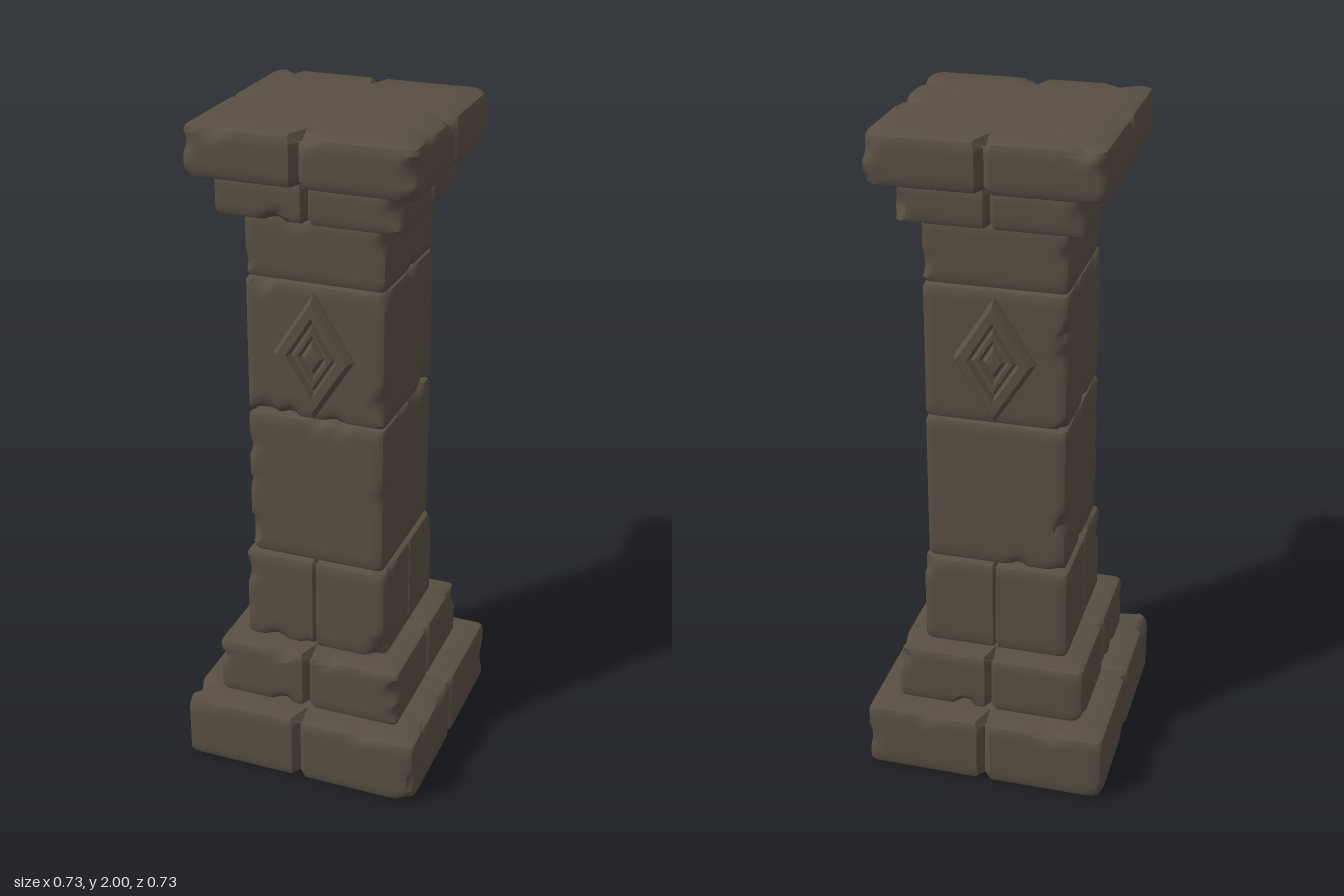
import * as THREE from 'three';
import { toCreasedNormals } from 'three/addons/utils/BufferGeometryUtils.js';

const stone = new THREE.MeshStandardMaterial({ color: 0x584e43 });
stone.name = 'weathered stone';

// small seeded random generator
function makeRandom(seed) {
  let s = seed * 7919 + 13;
  return () => {
    s = (s * 16807) % 2147483647;
    return s / 2147483647;
  };
}

// one row of a block outline: square with rounded corners and a V groove mid-side
function outlineRow(h, y, inset, groove, grooveWidth, drop, corner) {
  const points = [];
  const steps = 10;
  const scale = (h - inset) / h;
  const end = h - corner;
  const half = [];
  for (let i = 0; i <= steps; i++) half.push(grooveWidth + (end - grooveWidth) * i / steps);
  const us = [...half.map((u) => -u).reverse(), 0, ...half];
  for (let side = 0; side < 4; side++) {
    const a = side * Math.PI / 2, s = Math.sin(a), c = Math.cos(a);
    const add = (n, u, py) => points.push(new THREE.Vector3(s * n + c * u, py, c * n - s * u));
    for (const u of us) {
      const mid = u === 0;
      add((h - inset) - (mid ? groove : 0), u * scale, y - (mid ? drop : 0));
    }
    const k = (h - corner * 0.3) * scale;
    add(k, k, y);
  }
  return points;
}

// bevelled stone block with optional mid-side grooves and chipped edges
function block(name, h, y0, y1, { groove = 0, width = 0.008, chips = 10, bevel = 0.016, seed = 1 } = {}) {
  const corner = bevel * 1.1;
  const rows = [];
  const capRows = (y, sign) => [
    outlineRow(h, y, h, 0, 0.004, 0, corner),
    outlineRow(h, y, Math.min(0.085, h * 0.4), 0, 0.004, 0, corner),
    outlineRow(h, y, bevel, groove, width * 1.3, sign * groove, corner),
    outlineRow(h, y - sign * bevel * 0.3, bevel * 0.3, groove, width * 1.3, sign * groove * 0.6, corner),
    outlineRow(h, y - sign * bevel, 0, groove, width, 0, corner),
  ];
  rows.push(...capRows(y0, -1));
  const levels = Math.max(3, Math.round((y1 - y0) / 0.028));
  for (let i = 1; i < levels; i++) {
    const y = THREE.MathUtils.lerp(y0 + bevel, y1 - bevel, i / levels);
    rows.push(outlineRow(h, y, 0, groove, width, 0, corner));
  }
  rows.push(...capRows(y1, 1).reverse());

  // press rounded chips into vertical and horizontal edges
  const random = makeRandom(seed);
  for (let i = 0; i < chips; i++) {
    const sx = random() < 0.5 ? -1 : 1, sz = random() < 0.5 ? -1 : 1;
    const sy = random() < 0.5 ? 0 : 1;
    const along = random(), kind = random();
    const center = new THREE.Vector3(sx * h, y0 + (y1 - y0) * along, sz * h);
    const push = new THREE.Vector3(-sx, 0, -sz);
    if (kind > 0.4) {
      center.y = sy ? y1 : y0;
      push.y = sy ? -1 : 1;
      if (kind > 0.7) { center.x = (along * 2 - 1) * h; push.x = 0; }
      else { center.z = (along * 2 - 1) * h; push.z = 0; }
    }
    const radius = 0.025 + random() * 0.025, depth = 0.006 + random() * 0.009;
    for (const row of rows) for (const p of row) {
      const d = p.distanceTo(center) / radius;
      if (d < 1) p.addScaledVector(push, depth * (1 - d * d));
    }
  }

  const n = rows[0].length, index = [];
  for (let j = 0; j < rows.length - 1; j++) for (let i = 0; i < n; i++) {
    const a = j * n + i, b = j * n + (i + 1) % n, c = b + n, d = a + n;
    if (j > 0) index.push(a, b, c);
    if (j < rows.length - 2) index.push(a, c, d);
    else if (j === 0) index.push(a, c, d);
  }
  const geometry = new THREE.BufferGeometry().setFromPoints(rows.flat());
  geometry.setIndex(index);
  const mesh = new THREE.Mesh(toCreasedNormals(geometry, 0.7), stone);
  mesh.name = name;
  return mesh;
}

// stepped diamond ornament lofted through nested rhombus outlines
function diamond(name) {
  const rings = [
    [0.122, 0.192, 0.195], [0.12, 0.188, 0.215], [0.106, 0.166, 0.235], [0.076, 0.122, 0.235],
    [0.068, 0.108, 0.214], [0.064, 0.102, 0.214], [0.056, 0.09, 0.23], [0.044, 0.07, 0.23],
    [0.036, 0.058, 0.214], [0.033, 0.053, 0.214], [0.022, 0.036, 0.228], [0, 0, 0.23],
  ];
  const points = [], index = [];
  for (const [w, h, z] of rings) {
    for (const [x, y] of [[w, 0], [0, h], [-w, 0], [0, -h]]) points.push(new THREE.Vector3(x, y, z));
  }
  for (let j = 0; j < rings.length - 1; j++) for (let i = 0; i < 4; i++) {
    const a = j * 4 + i, b = j * 4 + (i + 1) % 4;
    index.push(a, b, b + 4);
    if (j < rings.length - 2) index.push(a, b + 4, a + 4);
  }
  const geometry = new THREE.BufferGeometry().setFromPoints(points);
  geometry.setIndex(index);
  const mesh = new THREE.Mesh(toCreasedNormals(geometry, 0.2), stone);
  mesh.name = name;
  mesh.position.y = 1.343;
  return mesh;
}

export function createModel() {
  const pillar = new THREE.Group();
  pillar.name = 'stonePillar';

  // stepped base
  const grooved = { groove: 0.023, width: 0.02 };
  pillar.add(block('baseSlab', 0.367, 0, 0.207, { ...grooved, chips: 14, seed: 3 }));
  pillar.add(block('baseStep', 0.288, 0.207, 0.389, { ...grooved, width: 0.016, chips: 12, seed: 8 }));
  pillar.add(block('plinth', 0.222, 0.389, 0.682, { groove: 0.012, width: 0.007, seed: 5 }));

  // shaft
  pillar.add(block('lowerShaft', 0.21, 0.682, 1.144, { chips: 18, seed: 11 }));
  pillar.add(block('ornamentBlock', 0.209, 1.144, 1.553, { chips: 14, seed: 17 }));
  pillar.add(block('upperShaft', 0.208, 1.553, 1.742, { chips: 8, seed: 23 }));

  // capital
  pillar.add(block('capitalStep', 0.267, 1.742, 1.857, { ...grooved, width: 0.014, chips: 10, seed: 29 }));
  pillar.add(block('capitalSlab', 0.328, 1.857, 2, { ...grooved, chips: 14, bevel: 0.02, seed: 31 }));

  // ornaments on front and back
  const front = diamond('frontDiamond');
  const back = diamond('backDiamond');
  back.rotation.y = Math.PI;
  pillar.add(front, back);
  return pillar;
}
